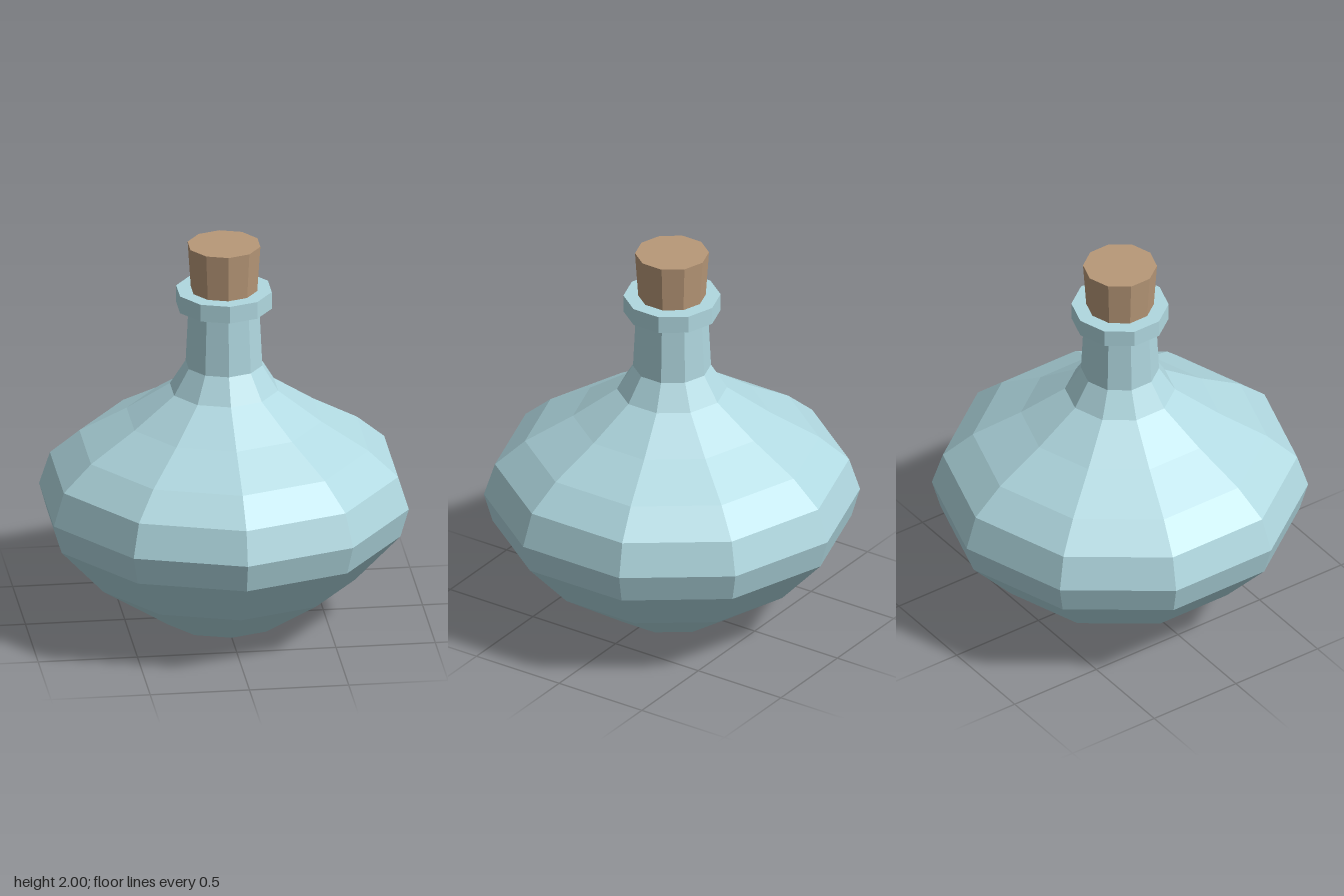
import * as THREE from 'three';

const SIDES = 10;

// Faceted solid of revolution from [radius, height] pairs, bottom to top
function turned(name, profile, material) {
  const points = profile.map(([r, y]) => new THREE.Vector2(r, y));
  const mesh = new THREE.Mesh(new THREE.LatheGeometry(points, SIDES), material);
  mesh.name = name;
  return mesh;
}

export function createModel() {
  const model = new THREE.Group();
  model.name = 'corkedBottle';
  const glass = new THREE.MeshStandardMaterial({ color: 0xb0d8e0, flatShading: true });
  const corkMaterial = new THREE.MeshStandardMaterial({ color: 0xb89878, flatShading: true });

  // Squat body running up into the narrow neck
  model.add(turned('bodyAndNeck', [
    [0, 0], [0.308, 0], [0.667, 0.24], [0.897, 0.49], [0.94, 0.64], [0.885, 0.81],
    [0.735, 0.94], [0.495, 1.08], [0.275, 1.23], [0.195, 1.36], [0.18, 1.67],
  ], glass));

  // Lip ring around the mouth
  model.add(turned('lip', [
    [0.15, 1.67], [0.243, 1.67], [0.243, 1.76], [0.15, 1.76],
  ], glass));

  // Tapered stopper, pushed slightly into the mouth
  model.add(turned('cork', [
    [0, 1.70], [0.165, 1.70], [0.185, 2], [0, 2],
  ], corkMaterial));

  return model;
}
